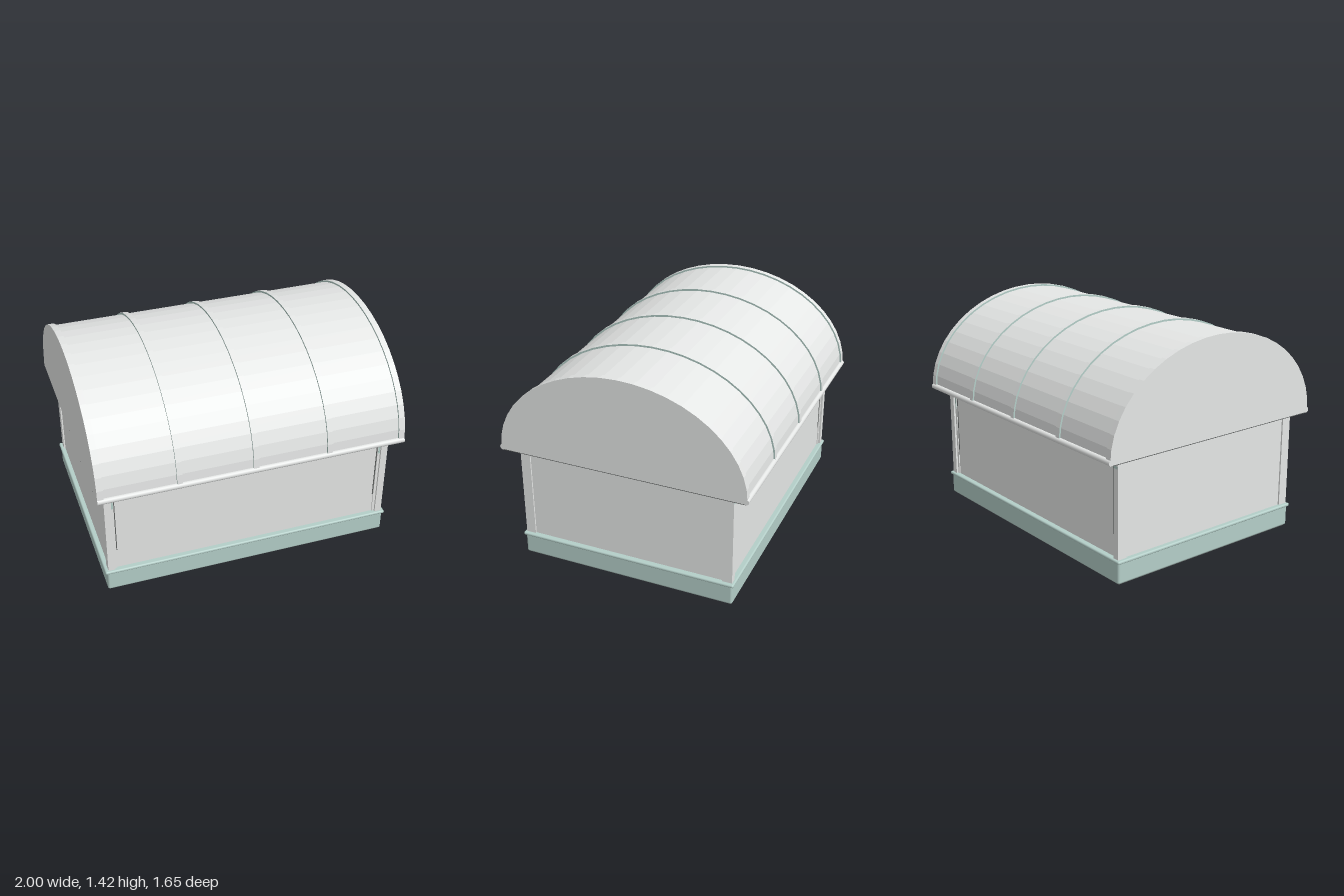
import * as THREE from 'three';
import { RoundedBoxGeometry } from 'three/addons/geometries/RoundedBoxGeometry.js';

export function createModel() {
  const model = new THREE.Group();
  const paint = (name, color) => {
    const material = new THREE.MeshStandardMaterial({ color });
    material.name = name;
    return material;
  };
  const grey = paint('lightGrey', 0xe8eae9);
  const green = paint('paleGreen', 0xb4cec8);
  const dark = paint('darkGrey', 0x616463);

  const add = (name, geometry, material, x = 0, y = 0, z = 0) => {
    const mesh = new THREE.Mesh(geometry, material);
    mesh.name = name;
    mesh.position.set(x, y, z);
    model.add(mesh);
    return mesh;
  };
  const box = (name, w, h, d, material, x, y, z) =>
    add(name, new THREE.BoxGeometry(w, h, d), material, x, y, z);

  // Plinth with a rounded lip and a dark underside
  add('base', new RoundedBoxGeometry(1.91, 0.142, 1.44, 3, 0.014), green, 0, 0.074, 0);
  add('baseLip', new RoundedBoxGeometry(1.934, 0.022, 1.46, 3, 0.01), green, 0, 0.147, 0);
  box('baseUnderside', 1.888, 0.006, 1.418, dark, 0, 0.003, 0);

  // Recessed wall panels, corner posts and beams
  for (const s of [-1, 1]) {
    box('longWall', 1.8, 0.6, 0.02, grey, 0, 0.45, s * 0.685);
    box('endWall', 0.02, 0.645, 1.32, grey, s * 0.925, 0.4725, 0);
    box('topBeam', 1.8, 0.05, 0.06, grey, 0, 0.77, s * 0.68);
    box('beamShadowGap', 1.766, 0.009, 0.008, dark, 0, 0.7405, s * 0.693);
    for (const t of [-1, 1]) {
      box('cornerPost', 0.045, 0.64, 0.065, grey, s * 0.9225, 0.475, t * 0.6825);
      box('postTrim', 0.018, 0.64, 0.05, grey, s * 0.892, 0.475, t * 0.677);
      // Dark joint beside the post and green bracket at its top
      box('panelJoint', 0.007, 0.44, 0.008, dark, s * 0.8795, 0.52, t * 0.693);
      box('bracketFront', 0.034, 0.016, 0.004, green, s * 0.922, 0.735, t * 0.7145);
      box('bracketStem', 0.012, 0.1, 0.004, green, s * 0.892, 0.69, t * 0.7015);
      box('bracketSide', 0.004, 0.016, 0.05, green, s * 0.9445, 0.765, t * 0.682);
    }
  }

  // Half-ellipse arch points running from front eave to back eave
  const arch = (rz, ry, segments = 24) =>
    Array.from({ length: segments + 1 }, (_, i) => {
      const a = (i / segments) * Math.PI;
      return new THREE.Vector2(rz * Math.cos(a), 0.8 + ry * Math.sin(a));
    });
  // Extrudes a profile along x, centred at x = 0
  const extrude = (points, length) => {
    const geometry = new THREE.ExtrudeGeometry(new THREE.Shape(points), {
      depth: length, bevelEnabled: false,
    });
    return geometry.translate(0, 0, -length / 2).rotateY(Math.PI / 2);
  };
  const closedArch = (rz, ry) => [
    ...arch(rz, ry), new THREE.Vector2(-rz, 0.787), new THREE.Vector2(rz, 0.787),
  ];

  // Barrel roof with smooth-edged gable plates and a dark underside
  add('barrelRoof', extrude(closedArch(0.805, 0.613), 1.99), grey);
  for (const s of [-1, 1]) {
    add('gablePlate', extrude(closedArch(0.816, 0.625), 0.004), grey, s * 0.998);
  }
  box('roofUnderside', 1.998, 0.005, 1.61, dark, 0, 0.7845, 0);

  // Raised ribs over the roof: grey faces with green sides
  const band = [...arch(0.816, 0.625), ...arch(0.79, 0.6).reverse()];
  for (let i = -2; i <= 2; i++) {
    add('roofRib', extrude(band, 0.036), [green, grey], i * 0.489, 0, 0);
  }

  // Rounded eave rails
  for (const s of [-1, 1]) {
    const rail = new THREE.CylinderGeometry(0.019, 0.019, 2, 16).rotateZ(Math.PI / 2);
    add('eaveRail', rail, grey, 0, 0.802, s * 0.806);
  }
  return model;
}
